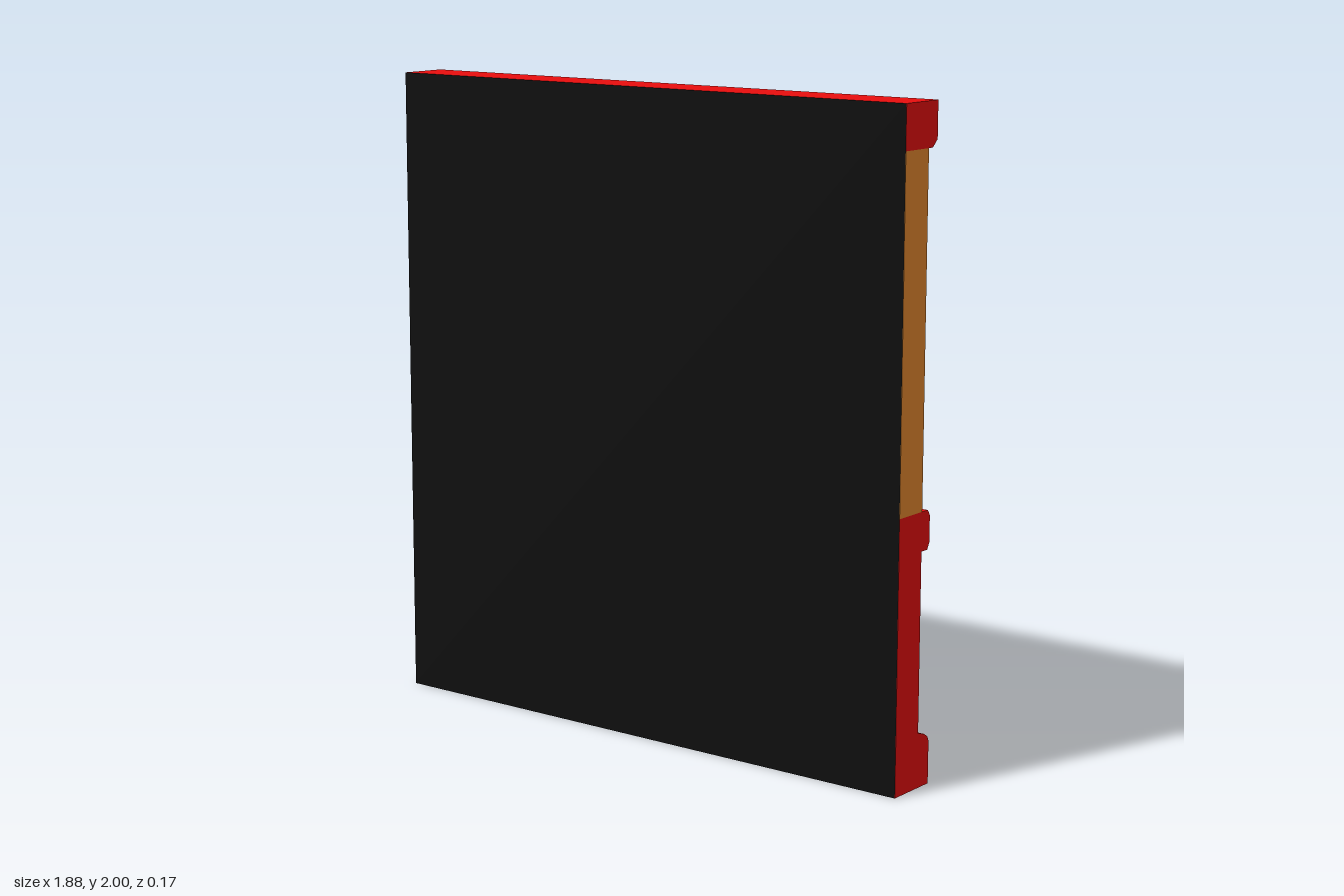
import * as THREE from 'three';

const HALF = 0.94;    // half width of the wall
const FRONT = 0.087;  // z of the flat side
const FACE = -0.03;   // z of the panelled side
const RECESS = 0.018; // depth of the sunken panels

const material = (color) => new THREE.MeshStandardMaterial({ color, flatShading: true });

export function createModel() {
  const group = new THREE.Group();
  const red = material(0xe90e0e);
  const orange = material(0xe6892f);
  const grey = material(0xcccccc);
  const black = material(0x0d0d0d);

  const add = (name, geometry, mat) => {
    const mesh = new THREE.Mesh(geometry, mat);
    mesh.name = name;
    group.add(mesh);
    return mesh;
  };

  // Full-width box between two heights and two depths
  const slab = (name, y0, y1, z0, z1, mat) =>
    add(name, new THREE.BoxGeometry(2 * HALF, y1 - y0, z1 - z0), mat)
      .position.set(0, (y0 + y1) / 2, (z0 + z1) / 2);

  // Profile of [distance behind z = 0, height] run along the width
  const moulding = (name, points) => {
    const shape = new THREE.Shape(points.map(([d, y]) => new THREE.Vector2(d, y)));
    const geometry = new THREE.ExtrudeGeometry(shape, { depth: 2 * HALF, bevelEnabled: false });
    geometry.rotateY(Math.PI / 2).translate(-HALF, 0, 0);
    add(name, geometry, red);
  };

  moulding('baseboard', [
    [-FRONT, 0], [0.087, 0], [0.087, 0.13], [0.08, 0.145], [0.062, 0.157], [0.03, 0.166], [-FRONT, 0.166],
  ]);
  moulding('chairRail', [
    [-FRONT, 0.71], [0.06, 0.71], [0.071, 0.73], [0.071, 0.81], [0.06, 0.827], [-FRONT, 0.827],
  ]);
  moulding('crownMoulding', [
    [-FRONT, 1.868], [0.05, 1.868], [0.074, 1.89], [0.074, 2], [-FRONT, 2],
  ]);

  // Upper wall with alternating stripes, the first one orange at +x
  slab('upperWall', 0.827, 1.868, FACE, FRONT, orange);
  const stripeWidth = (2 * HALF) / 10;
  for (let i = 1; i < 10; i += 2) {
    const stripe = add('greyStripe', new THREE.PlaneGeometry(stripeWidth, 1.041), grey);
    stripe.rotation.y = Math.PI;
    stripe.position.set(HALF - (i + 0.5) * stripeWidth, 1.3475, FACE - 0.001);
  }

  // Lower wall: a core, then a frame with two openings
  slab('wainscotCore', 0.166, 0.71, FACE + RECESS, FRONT, red);
  const corners = (x0, y0, x1, y1) => [[x0, y0], [x1, y0], [x1, y1], [x0, y1]];
  const toPoints = (list) => list.map(([x, y]) => new THREE.Vector2(x, y));
  const openings = [[-0.868, -0.08], [0.08, 0.868]];
  const frame = new THREE.Shape(toPoints(corners(-HALF, 0.166, HALF, 0.71)));
  for (const [x0, x1] of openings) {
    frame.holes.push(new THREE.Path(toPoints(corners(x0, 0.23, x1, 0.63))));
  }
  add('wainscotFrame', new THREE.ExtrudeGeometry(frame, { depth: RECESS, bevelEnabled: false }), red)
    .position.z = FACE;

  // Sloping border inside each opening
  const inset = 0.026;
  for (const [x0, x1] of openings) {
    const outer = corners(x0, 0.23, x1, 0.63).map(([x, y]) => [x, y, FACE]);
    const inner = corners(x0 + inset, 0.23 + inset, x1 - inset, 0.63 - inset)
      .map(([x, y]) => [x, y, FACE + RECESS]);
    const vertices = [];
    for (let i = 0; i < 4; i++) {
      const j = (i + 1) % 4;
      vertices.push(...outer[i], ...inner[i], ...inner[j], ...outer[i], ...inner[j], ...outer[j]);
    }
    const border = new THREE.BufferGeometry();
    border.setAttribute('position', new THREE.Float32BufferAttribute(vertices, 3));
    border.computeVertexNormals();
    add('panelBevel', border, red);
  }

  // Plain black sheet covering the flat side
  add('blackBacking', new THREE.PlaneGeometry(2 * HALF, 2), black).position.set(0, 1, FRONT + 0.001);

  return group;
}
